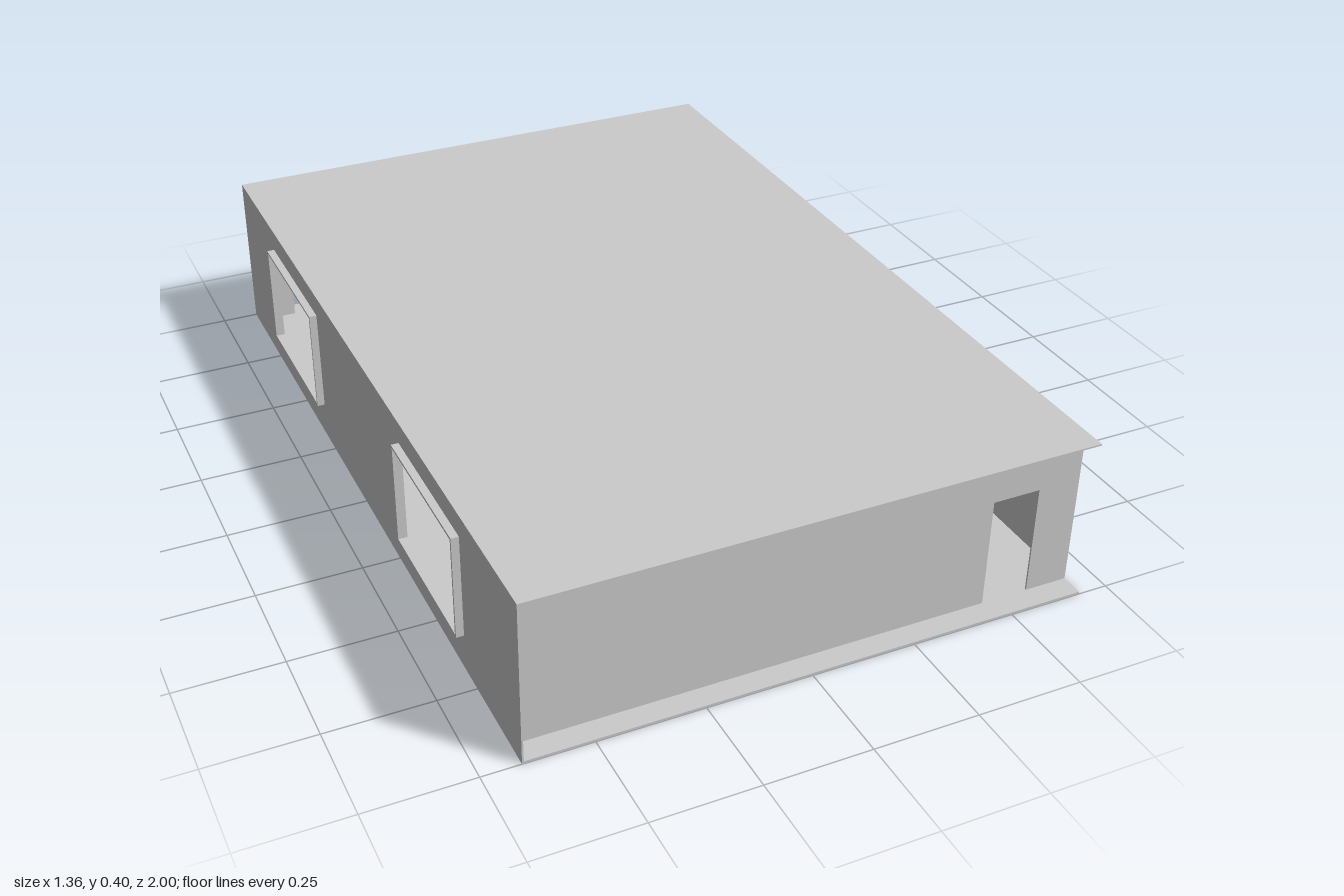
import * as THREE from 'three';

const material = new THREE.MeshStandardMaterial({ color: 0xcccccc, side: THREE.DoubleSide });
const T = 0.004;                        // sheet thickness
const LEFT = 0.678, RIGHT = -0.66;      // outer faces of the side walls
const FRONT = 0.945, BACK = -0.955;     // outer faces of the recessed end walls
const TOP = 0.4, FLOOR = 0.006;

function rect(Type, [u0, u1, v0, v1]) {
  const s = new Type();
  s.moveTo(u0, v0);
  s.lineTo(u1, v0);
  s.lineTo(u1, v1);
  s.lineTo(u0, v1);
  s.closePath();
  return s;
}

// Upright panel with rectangular openings, extruded by depth
function panel(name, outline, openings, depth = T) {
  const shape = rect(THREE.Shape, outline);
  openings.forEach((o) => shape.holes.push(rect(THREE.Path, o)));
  const geometry = new THREE.ExtrudeGeometry(shape, { depth, bevelEnabled: false });
  const mesh = new THREE.Mesh(geometry, material);
  mesh.name = name;
  return mesh;
}

function slab(name, y0, y1, x0, x1, z0, z1) {
  const mesh = new THREE.Mesh(new THREE.BoxGeometry(x1 - x0, y1 - y0, z1 - z0), material);
  mesh.position.set((x0 + x1) / 2, (y0 + y1) / 2, (z0 + z1) / 2);
  mesh.name = name;
  return mesh;
}

export function createModel() {
  const room = new THREE.Group();
  room.name = 'room';

  // Floor and roof run past the end walls
  room.add(slab('floor', 0, FLOOR, RIGHT, LEFT, -1, 1));
  room.add(slab('roof', TOP - T, TOP, RIGHT, LEFT, -1, 1));

  // Recessed end walls, each with a doorway
  const ends = [
    ['frontWall', FRONT - T, [0.458, 0.574, FLOOR, 0.276]],
    ['backWall', BACK, [-0.562, -0.446, FLOOR, 0.276]],
  ];
  for (const [name, z, door] of ends) {
    const wall = panel(name, [RIGHT, LEFT, FLOOR, TOP - T], [door]);
    wall.position.z = z;
    room.add(wall);
  }

  // Plain left wall between the end walls
  room.add(slab('leftWall', FLOOR, TOP - T, LEFT - T, LEFT, BACK, FRONT));

  // Full-length right wall with two windows in projecting sleeves
  const windows = [[-0.7, -0.32, 0.09, 0.345], [0.3, 0.68, 0.09, 0.345]];
  const rim = 0.006;
  const inner = ([a, b, c, d]) => [a + rim, b - rim, c + rim, d - rim];
  const rightWall = panel('rightWall', [-1, 1, FLOOR, TOP - T], windows.map(inner));
  rightWall.rotation.y = -Math.PI / 2;
  rightWall.position.x = RIGHT + T;
  room.add(rightWall);
  for (const w of windows) {
    const frame = panel('windowFrame', w, [inner(w)], 0.018);
    frame.rotation.y = -Math.PI / 2;
    frame.position.x = RIGHT;
    room.add(frame);
  }
  return room;
}
